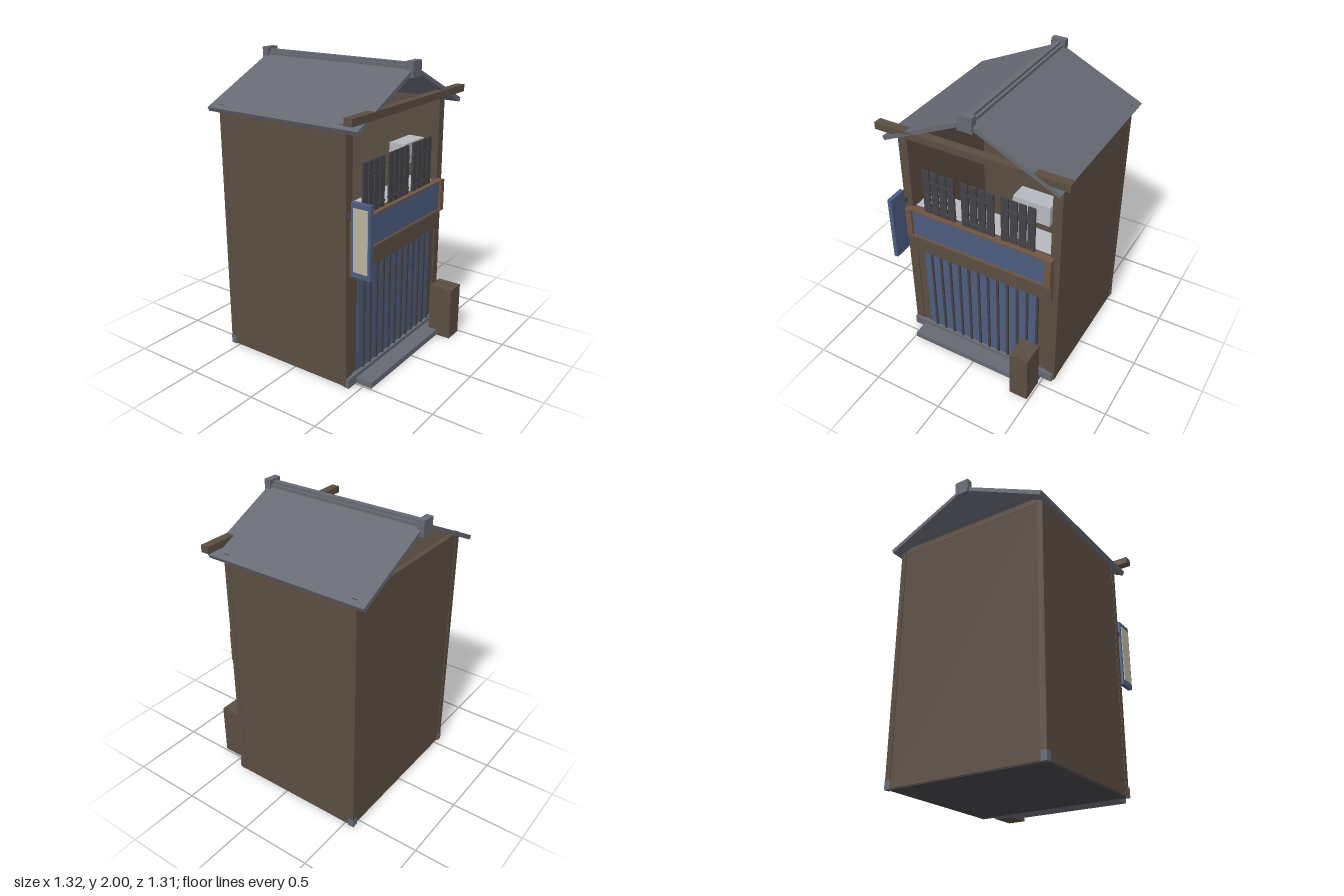
import * as THREE from 'three';

const mat = (color) => new THREE.MeshStandardMaterial({ color, flatShading: true });

export function createModel() {
  const house = new THREE.Group();
  house.name = 'shopHouse';

  const wood = mat(0x5a4d42);
  const trim = mat(0x6e5442);
  const slate = mat(0x666872);
  const blue = mat(0x4c5c80);
  const dark = mat(0x434247);
  const pale = mat(0xb4b8bc);
  const cream = mat(0xb8b4a0);

  // Box given by its limits on each axis
  const box = (name, material, x0, x1, y0, y1, z0, z1, parent = house) => {
    const mesh = new THREE.Mesh(new THREE.BoxGeometry(x1 - x0, y1 - y0, z1 - z0), material);
    mesh.position.set((x0 + x1) / 2, (y0 + y1) / 2, (z0 + z1) / 2);
    mesh.name = name;
    parent.add(mesh);
    return mesh;
  };
  const group = (name) => {
    const g = new THREE.Group();
    g.name = name;
    house.add(g);
    return g;
  };

  // Hollow body: floor, back and side walls, open above the sign and under the gables
  box('floor', dark, -0.56, 0.56, 0, 0.03, -0.55, 0.42);
  box('backWall', wood, -0.54, 0.54, 0.005, 1.695, -0.56, -0.535);
  for (const s of [-1, 1]) {
    const x = s * 0.56;
    box('sideWall', wood, x - 0.0125, x + 0.0125, 0.005, 1.695, -0.53, 0.4);
    box('frontPost', wood, s * 0.5425 - 0.0325, s * 0.5425 + 0.0325, 0.005, 1.7, 0.38, 0.42);
    box('backPost', wood, s * 0.555 - 0.0195, s * 0.555 + 0.0195, 0.06, 1.7, -0.566, -0.53);
    box('postFoot', slate, s * 0.555 - 0.021, s * 0.555 + 0.021, 0, 0.06, -0.568, -0.528);
  }
  box('upperBackBeam', wood, -0.54, 0.54, 1.66, 1.7, -0.562, -0.53);

  // Ground-floor front with slatted doors
  box('frontWall', wood, -0.515, 0.515, 0.03, 1.1, 0.385, 0.412);
  box('doorPanel', blue, -0.45, 0.43, 0.06, 0.77, 0.41, 0.418);
  const slats = group('doorSlats');
  for (let i = 0; i < 12; i++) {
    const x = -0.389 + i * 0.0745;
    box('doorSlat', dark, x - 0.008, x + 0.008, 0.06, 0.77, 0.415, 0.43, slats);
  }
  box('lintel', wood, -0.545, 0.537, 0.76, 0.885, 0.4, 0.44);

  // Footing and step
  box('footing', slate, -0.575, 0.565, 0, 0.065, 0.4, 0.44);
  box('frontStep', slate, -0.49, 0.48, 0, 0.04, 0.43, 0.555);

  // Framed shop sign
  const sign = group('shopSign');
  box('signPanel', blue, -0.505, 0.5, 0.895, 1.105, 0.41, 0.45, sign);
  box('signFrameLeft', trim, 0.493, 0.537, 0.888, 1.112, 0.41, 0.466, sign);
  box('signFrameRight', trim, -0.543, -0.499, 0.888, 1.112, 0.41, 0.466, sign);
  box('signFrameTop', trim, -0.499, 0.493, 1.1, 1.112, 0.41, 0.46, sign);
  box('signFrameBottom', trim, -0.499, 0.493, 0.888, 0.902, 0.41, 0.46, sign);

  // Upper window lattices
  for (const x0 of [-0.41, -0.122, 0.165]) {
    const lattice = group('windowLattice');
    for (let i = 0; i < 4; i++) {
      const x = x0 + i * 0.062;
      box('latticeBar', dark, x, x + 0.051, 1.1, 1.44, 0.415, 0.427, lattice);
    }
    for (const y of [1.15, 1.36]) {
      box('latticeRail', dark, x0, x0 + 0.237, y - 0.006, y + 0.006, 0.412, 0.432, lattice);
    }
  }

  // Ledge and cooling unit behind the lattices
  box('upperLedge', pale, -0.51, 0.51, 1.08, 1.1, 0.2, 0.412);
  box('coolingUnit', pale, 0.2, 0.455, 1.27, 1.41, 0.22, 0.34);

  // Hanging side sign with its bracket
  const hanging = group('hangingSign');
  box('hangingBoard', blue, -0.574, -0.545, 0.783, 1.253, 0.455, 0.59, hanging);
  box('hangingFace', cream, -0.58, -0.572, 0.82, 1.22, 0.472, 0.573, hanging);
  box('signBracket', dark, -0.568, -0.552, 1.14, 1.17, 0.41, 0.46, hanging);

  // Gabled roof, one chevron pushed along the ridge
  const chevron = new THREE.Shape([
    [0, 1.965], [-0.61, 1.68], [-0.597, 1.654], [0, 1.936], [0.597, 1.654], [0.61, 1.68],
  ].map(([x, y]) => new THREE.Vector2(x, y)));
  const roof = new THREE.Mesh(
    new THREE.ExtrudeGeometry(chevron, { depth: 1.155, bevelEnabled: false }), slate);
  roof.position.z = -0.635;
  roof.name = 'roof';
  house.add(roof);

  // Stepped ridge with end blocks
  box('ridgeBase', slate, -0.036, 0.036, 1.935, 1.968, -0.63, 0.515);
  box('ridgeCap', slate, -0.018, 0.018, 1.96, 1.985, -0.63, 0.515);
  box('ridgeEndFront', slate, -0.05, 0.05, 1.9, 2, 0.487, 0.533);
  box('ridgeEndBack', slate, -0.05, 0.05, 1.9, 2, -0.654, -0.608);

  // Long beam across the front eaves
  box('eaveBeam', wood, -0.66, 0.66, 1.715, 1.762, 0.462, 0.52);

  // Standing box by the door
  box('standingBox', wood, 0.355, 0.488, 0, 0.375, 0.488, 0.654);

  return house;
}
